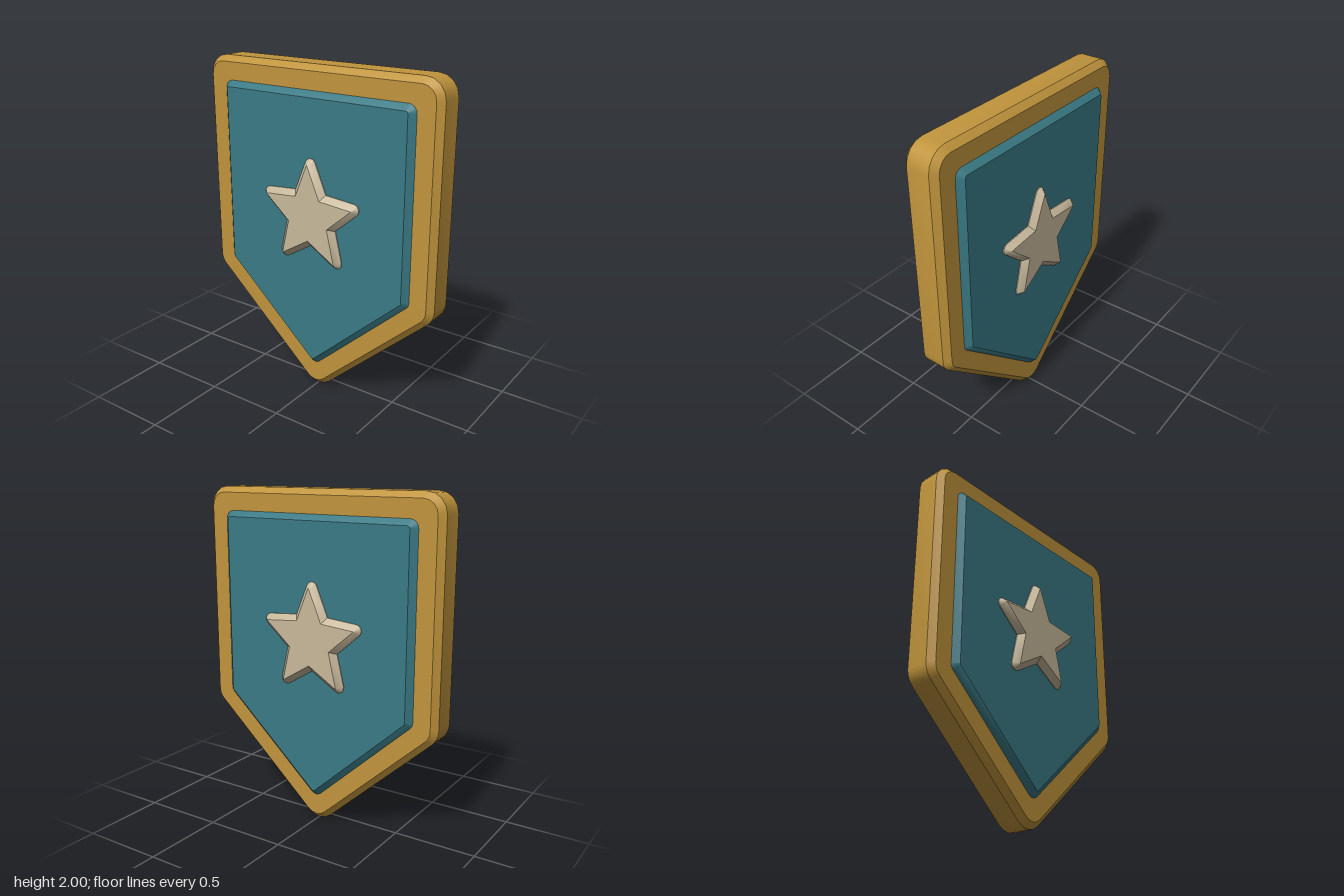
import * as THREE from 'three';
import { toCreasedNormals } from 'three/addons/utils/BufferGeometryUtils.js';

const ARC = 4; // segments per rounded corner

// Offset a counter-clockwise polygon outward by r, rounding its convex corners
function offsetLoop(core, r) {
  const out = [];
  core.forEach((p, i) => {
    const a = core[(i + core.length - 1) % core.length];
    const b = core[(i + 1) % core.length];
    const n1 = new THREE.Vector2(p.y - a.y, a.x - p.x).normalize();
    const n2 = new THREE.Vector2(b.y - p.y, p.x - b.x).normalize();
    const turn = Math.atan2(n1.cross(n2), n1.dot(n2));
    const start = Math.atan2(n1.y, n1.x);
    if (turn > 0) {
      for (let k = 0; k <= ARC; k++) {
        const t = start + (turn * k) / ARC;
        out.push(new THREE.Vector2(p.x + r * Math.cos(t), p.y + r * Math.sin(t)));
      }
    } else {
      const m = r / Math.cos(turn / 2), t = start + turn / 2;
      out.push(new THREE.Vector2(p.x + m * Math.cos(t), p.y + m * Math.sin(t)));
    }
  });
  return out;
}

// Slab with chamfered front and back rims
function slab(name, core, rOuter, rFace, half, bevel, material) {
  const outer = offsetLoop(core, rOuter), face = offsetLoop(core, rFace);
  const rings = [[face, -half], [outer, bevel - half], [outer, half - bevel], [face, half]];
  const pos = [];
  const put = (p, z) => pos.push(p.x, p.y, z);
  for (let k = 0; k < 3; k++) {
    const [A, za] = rings[k], [B, zb] = rings[k + 1];
    for (let i = 0; i < A.length; i++) {
      const j = (i + 1) % A.length;
      put(A[i], za); put(A[j], za); put(B[j], zb);
      put(A[i], za); put(B[j], zb); put(B[i], zb);
    }
  }
  for (const [a, b, c] of THREE.ShapeUtils.triangulateShape(face, [])) {
    put(face[a], half); put(face[b], half); put(face[c], half);
    put(face[a], -half); put(face[c], -half); put(face[b], -half);
  }
  const g = new THREE.BufferGeometry();
  g.setAttribute('position', new THREE.Float32BufferAttribute(pos, 3));
  const mesh = new THREE.Mesh(toCreasedNormals(g, 0.65), material);
  mesh.name = name;
  return mesh;
}

// Pointed shield polygon, inset by d from the sharp outer outline
function shieldCore(d) {
  const slope = 0.904;
  const w = 0.785 - d, top = 2 - d;
  const apex = -0.042 + d * Math.hypot(1, slope);
  const shoulder = apex + slope * w;
  return [[0, apex], [w, shoulder], [w, top], [-w, top], [-w, shoulder]]
    .map(([x, y]) => new THREE.Vector2(x, y));
}

function starCore(R, r, cy) {
  return Array.from({ length: 10 }, (_, i) => {
    const t = Math.PI / 2 + (i * Math.PI) / 5, q = i % 2 ? r : R;
    return new THREE.Vector2(q * Math.cos(t), cy + q * Math.sin(t));
  });
}

export function createModel() {
  const mat = (name, color) => {
    const m = new THREE.MeshStandardMaterial({ color });
    m.name = name;
    return m;
  };
  const group = new THREE.Group();
  group.name = 'shieldBadge';
  group.add(
    slab('rim', shieldCore(0.12), 0.12, 0.085, 0.105, 0.035, mat('gold', 0xc0943c)),
    slab('panel', shieldCore(0.19), 0.05, 0.015, 0.139, 0.035, mat('teal', 0x3a7a85)),
    slab('star', starCore(0.31, 0.14, 1.14), 0.035, 0.002, 0.179, 0.035, mat('cream', 0xc8b99c))
  );
  return group;
}
